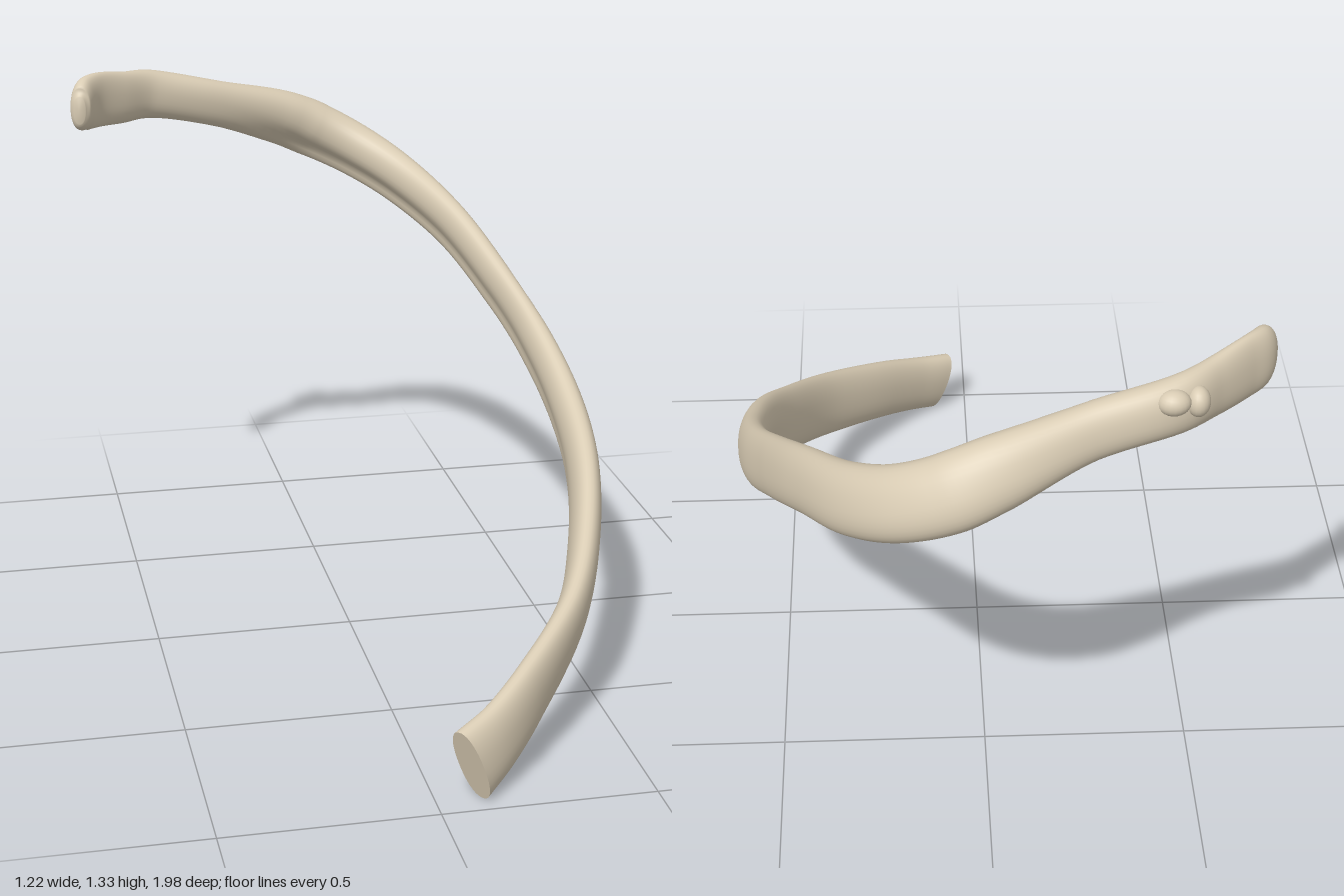
import * as THREE from 'three';

const RINGS = 150, SIDES = 36;
const bone = new THREE.MeshStandardMaterial({ color: 0xd9ccb4 });

// Stations from head to front end: centre x, y, z, half height, half thickness, forward lean of the section
const stations = [
  [-0.597, 1.250, -0.632, 0.036, 0.016, 0.1],
  [-0.592, 1.250, -0.648, 0.058, 0.028, 0.1],
  [-0.576, 1.257, -0.685, 0.073, 0.031, 0.1],
  [-0.540, 1.258, -0.722, 0.075, 0.025, 0.1],
  [-0.470, 1.250, -0.775, 0.071, 0.030, 0.1],
  [-0.390, 1.245, -0.830, 0.067, 0.038, 0.1],
  [-0.200, 1.203, -0.866, 0.064, 0.042, 0.2],
  [0.000, 1.140, -0.920, 0.082, 0.057, 0.5],
  [0.100, 1.095, -0.925, 0.086, 0.060, 0.55],
  [0.200, 1.045, -0.887, 0.084, 0.057, 0.55],
  [0.300, 0.985, -0.790, 0.081, 0.050, 0.55],
  [0.405, 0.897, -0.600, 0.077, 0.040, 0.55],
  [0.482, 0.785, -0.400, 0.076, 0.036, 0.55],
  [0.540, 0.670, -0.200, 0.077, 0.037, 0.5],
  [0.565, 0.565, 0.000, 0.078, 0.040, 0.5],
  [0.553, 0.470, 0.200, 0.082, 0.039, 0.5],
  [0.500, 0.360, 0.400, 0.088, 0.038, 0.45],
  [0.410, 0.262, 0.600, 0.089, 0.037, 0.4],
  [0.250, 0.170, 0.800, 0.088, 0.037, 0.2],
  [0.155, 0.122, 0.895, 0.088, 0.037, 0.1],
  [0.078, 0.092, 0.955, 0.093, 0.038, 0.0],
];

// Sweeps a flattened oval along the stations
function sweptShaft() {
  const path = new THREE.CatmullRomCurve3(stations.map(s => new THREE.Vector3(s[0], s[1], s[2])));
  const size = new THREE.CatmullRomCurve3(stations.map(s => new THREE.Vector3(s[3], s[4], s[5])));
  const pos = [], index = [];
  for (let i = 0; i <= RINGS; i++) {
    const u = i / RINGS;
    const c = path.getPoint(u), tan = path.getTangent(u), s = size.getPoint(u);
    const up = new THREE.Vector3(-0.3 * THREE.MathUtils.smoothstep(u, 0.8, 1), 1, s.z);
    up.addScaledVector(tan, -up.dot(tan)).normalize();
    const inward = new THREE.Vector3().crossVectors(tan, up);
    // The groove under the inner face fades out at both ends
    const groove = 0.35 * THREE.MathUtils.smoothstep(u, 0.3, 0.4) * (1 - THREE.MathUtils.smoothstep(u, 0.6, 0.85));
    for (let j = 0; j < SIDES; j++) {
      const a = (j / SIDES) * Math.PI * 2, ca = Math.cos(a), sa = Math.sin(a);
      const w = Math.sign(ca) * Math.abs(ca) ** 0.9;
      const h = Math.sign(sa) * Math.abs(sa) ** 0.9;
      const dip = ca > 0 ? 1 - groove * ca * Math.exp(-(((h + 0.4) / 0.35) ** 2)) : 1;
      const p = c.clone().addScaledVector(inward, s.y * w * dip).addScaledVector(up, s.x * h);
      pos.push(p.x, p.y, p.z);
    }
  }
  for (let i = 0; i < RINGS; i++) {
    for (let j = 0; j < SIDES; j++) {
      const k = (j + 1) % SIDES;
      const a = i * SIDES + j, b = i * SIDES + k, d = a + SIDES, e = b + SIDES;
      index.push(a, d, b, b, d, e);
    }
  }
  // Rounded tip of the head
  const tip = pos.length / 3;
  pos.push(-0.599, 1.25, -0.625);
  for (let j = 0; j < SIDES; j++) index.push(tip, j, (j + 1) % SIDES);
  // Flat cut at the front end, with its own vertices for a sharp rim
  const rim = tip + 1, last = RINGS * SIDES;
  for (let j = 0; j < SIDES * 3; j++) pos.push(pos[last * 3 + j]);
  const mid = rim + SIDES;
  pos.push(...stations.at(-1).slice(0, 3));
  for (let j = 0; j < SIDES; j++) index.push(mid, rim + (j + 1) % SIDES, rim + j);

  const g = new THREE.BufferGeometry();
  g.setAttribute('position', new THREE.Float32BufferAttribute(pos, 3));
  g.setIndex(index);
  g.computeVertexNormals();
  return g;
}

export function createModel() {
  const model = new THREE.Group();
  model.name = 'rib';

  const shaft = new THREE.Mesh(sweptShaft(), bone);
  shaft.name = 'shaft';
  model.add(shaft);

  // Small knobs on the back of the neck
  const tubercle = new THREE.Group();
  tubercle.name = 'tubercle';
  const knobs = [
    [-0.425, 1.262, -0.848, 0.026, 0.034, 0.032],
    [-0.372, 1.272, -0.866, 0.036, 0.028, 0.030],
  ];
  for (const [x, y, z, rx, ry, rz] of knobs) {
    const knob = new THREE.Mesh(new THREE.SphereGeometry(1, 20, 14), bone);
    knob.name = 'tubercleKnob';
    knob.position.set(x, y, z);
    knob.scale.set(rx, ry, rz);
    tubercle.add(knob);
  }
  model.add(tubercle);
  return model;
}
